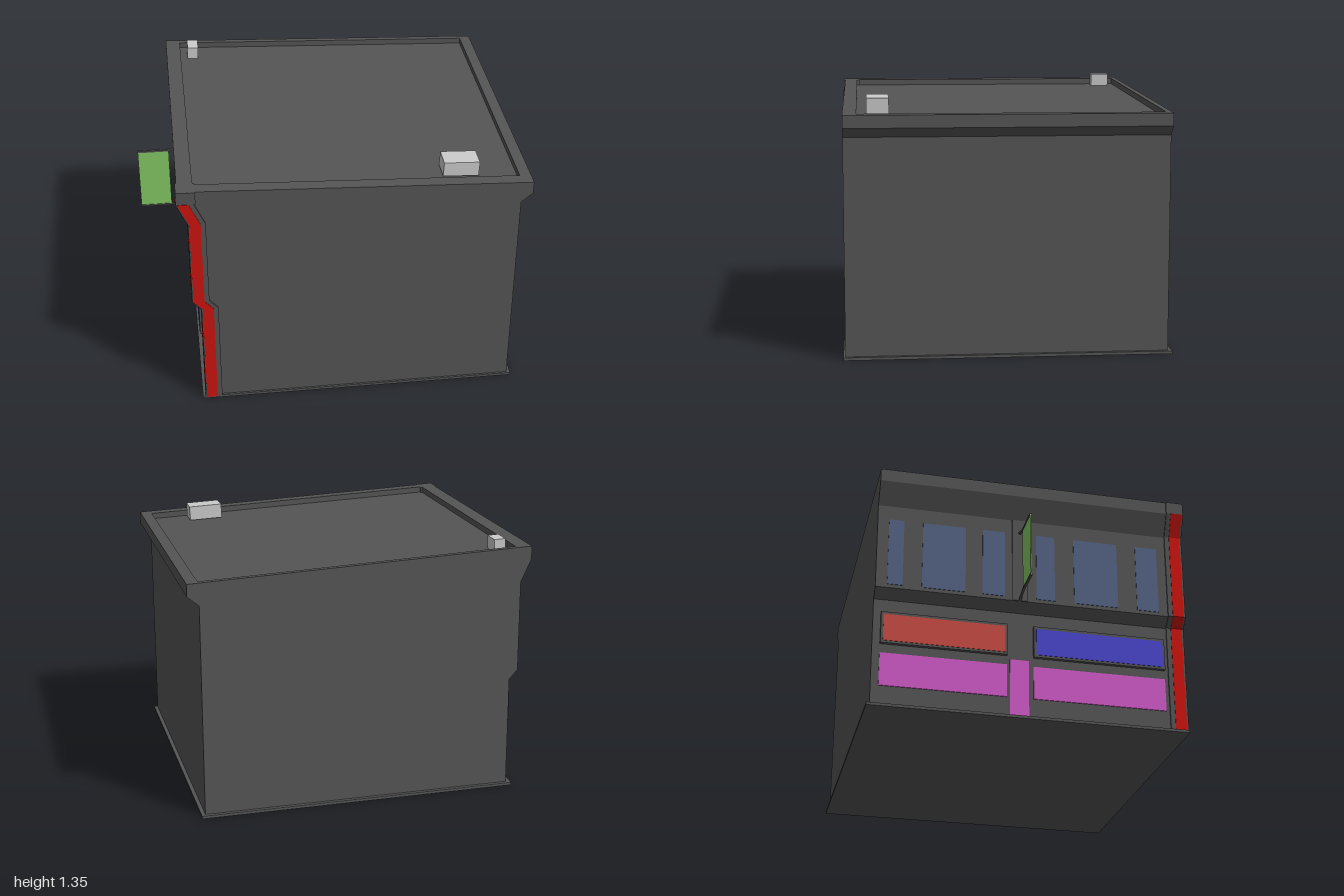
import * as THREE from 'three';

const DARK = 0x555555;
const GREY = 0xcccccc;
const RED = 0xcc140f;
const MAGENTA = 0xd05ac8;

// Height of the sloping parapet top at a given x
const topAt = (x) => 1.32 - 0.0414 * (x + 0.81);
const PARAPET = 0.032;

export function createModel() {
  const model = new THREE.Group();
  model.name = 'shopBuilding';

  const add = (name, geometry, color, parent = model) => {
    const mesh = new THREE.Mesh(geometry, new THREE.MeshStandardMaterial({ color, flatShading: true }));
    mesh.name = name;
    parent.add(mesh);
    return mesh;
  };

  // Box given by its limits on each axis
  const box = (name, [x0, x1], [y0, y1], [z0, z1], color, parent) => {
    const mesh = add(name, new THREE.BoxGeometry(x1 - x0, y1 - y0, z1 - z0), color, parent);
    mesh.position.set((x0 + x1) / 2, (y0 + y1) / 2, (z0 + z1) / 2);
    return mesh;
  };

  // Side profile in x and y, extruded from z0 to z1
  const prism = (name, points, z0, z1, color, parent) => {
    const shape = new THREE.Shape(points.map(([x, y]) => new THREE.Vector2(x, y)));
    const geometry = new THREE.ExtrudeGeometry(shape, { depth: z1 - z0, bevelEnabled: false });
    geometry.translate(0, 0, z0);
    return add(name, geometry, color, parent);
  };

  // Stepped outline of the street side, shared by the walls and pilaster
  const street = [[-0.705, 0.01], [-0.705, 0.6], [-0.75, 0.65], [-0.75, 1.13], [-0.805, 1.25]];

  // Walls with the overhanging upper storey and eaves
  prism('walls', [
    [0.94, 0.01], [0.94, 1.13], [1, 1.18], [1, topAt(1) - PARAPET],
    [-0.805, topAt(-0.805) - PARAPET], ...[...street].reverse(),
  ], -0.83, 0.825, DARK);

  box('basePlate', [-0.73, 0.96], [0, 0.015], [-0.85, 0.835], DARK);

  // Parapet ring, sheared to follow the roof slope
  const rect = (Type, x0, x1, z0, z1) => new Type([
    new THREE.Vector2(x0, -z1), new THREE.Vector2(x1, -z1),
    new THREE.Vector2(x1, -z0), new THREE.Vector2(x0, -z0),
  ]);
  const ring = rect(THREE.Shape, -0.805, 1, -0.83, 0.825);
  ring.holes.push(rect(THREE.Path, -0.725, 0.94, -0.8, 0.755));
  const parapet = new THREE.ExtrudeGeometry(ring, { depth: PARAPET, bevelEnabled: false });
  parapet.rotateX(-Math.PI / 2);
  const pos = parapet.attributes.position;
  for (let i = 0; i < pos.count; i++) {
    pos.setY(i, pos.getY(i) + topAt(pos.getX(i)) - PARAPET);
  }
  add('parapet', parapet, DARK);

  // Rooftop units, tilted with the roof
  const tilt = -Math.atan(0.0414);
  box('largeRoofUnit', [0.555, 0.74], [1.235, 1.314], [0.59, 0.705], GREY).rotation.z = tilt;
  box('smallRoofUnit', [-0.685, -0.625], [1.27, 1.35], [-0.76, -0.66], GREY).rotation.z = tilt;

  // Corner pilaster with red inlays on its two outer faces
  const pilaster = new THREE.Group();
  pilaster.name = 'cornerPilaster';
  model.add(pilaster);
  const band = (outer, inner) => [
    ...street.map(([x, y]) => [x + outer, y]),
    ...street.map(([x, y]) => [x + inner, y]).reverse(),
  ];
  prism('pilasterCore', band(-0.008, 0.08), 0.74, 0.835, DARK, pilaster);
  prism('pilasterFrontInlay', band(-0.002, 0.055), 0.82, 0.838, RED, pilaster);
  prism('pilasterStreetInlay', band(-0.011, 0), 0.765, 0.825, RED, pilaster);
  prism('pilasterCap', [[-0.812, 1.25], [-0.715, 1.25], [-0.715, 1.316], [-0.812, 1.32]],
    0.74, 0.835, DARK, pilaster);

  // Street side: shop windows, signboards, door and upper windows
  const facade = new THREE.Group();
  facade.name = 'streetFacade';
  model.add(facade);
  const shops = [
    { side: 'back', z: [-0.79, -0.13], sign: 0xc84b43 },
    { side: 'front', z: [0.01, 0.72], sign: 0x4b46cc },
  ];
  for (const { side, z, sign } of shops) {
    box(side + 'ShopWindow', [-0.71, -0.69], [0.12, 0.3], z, MAGENTA, facade);
    box(side + 'SignFrame', [-0.724, -0.69], [0.35, 0.525], z, DARK, facade);
    box(side + 'SignBoard', [-0.727, -0.7], [0.362, 0.51], [z[0] + 0.012, z[1] - 0.012], sign, facade);
  }
  box('door', [-0.71, -0.69], [0.015, 0.33], [-0.115, -0.015], MAGENTA, facade);

  const windows = [[-0.77, -0.69], [-0.59, -0.36], [-0.27, -0.15], [0.02, 0.12], [0.225, 0.465], [0.57, 0.69]];
  for (const z of windows) {
    box('upperWindow', [-0.753, -0.73], [0.67, 1.05], z, 0x546282, facade);
  }
  box('centrePilaster', [-0.757, -0.73], [0.65, 1.13], [-0.11, -0.03], DARK, facade);

  // Hanging sign held by two bent brackets
  const hanging = new THREE.Group();
  hanging.name = 'hangingSign';
  model.add(hanging);
  box('signPanel', [-1, -0.83], [0.68, 1.03], [-0.073, -0.067], 0x84c864, hanging);
  for (const [name, wallY, y] of [['upperBracket', 1.05, 1.025], ['lowerBracket', 0.648, 0.674]]) {
    prism(name, [
      [-1, y], [-0.828, y], [-0.745, wallY], [-0.745, wallY + 0.01], [-0.83, y + 0.01], [-1, y + 0.01],
    ], -0.076, -0.064, DARK, hanging);
  }

  return model;
}
